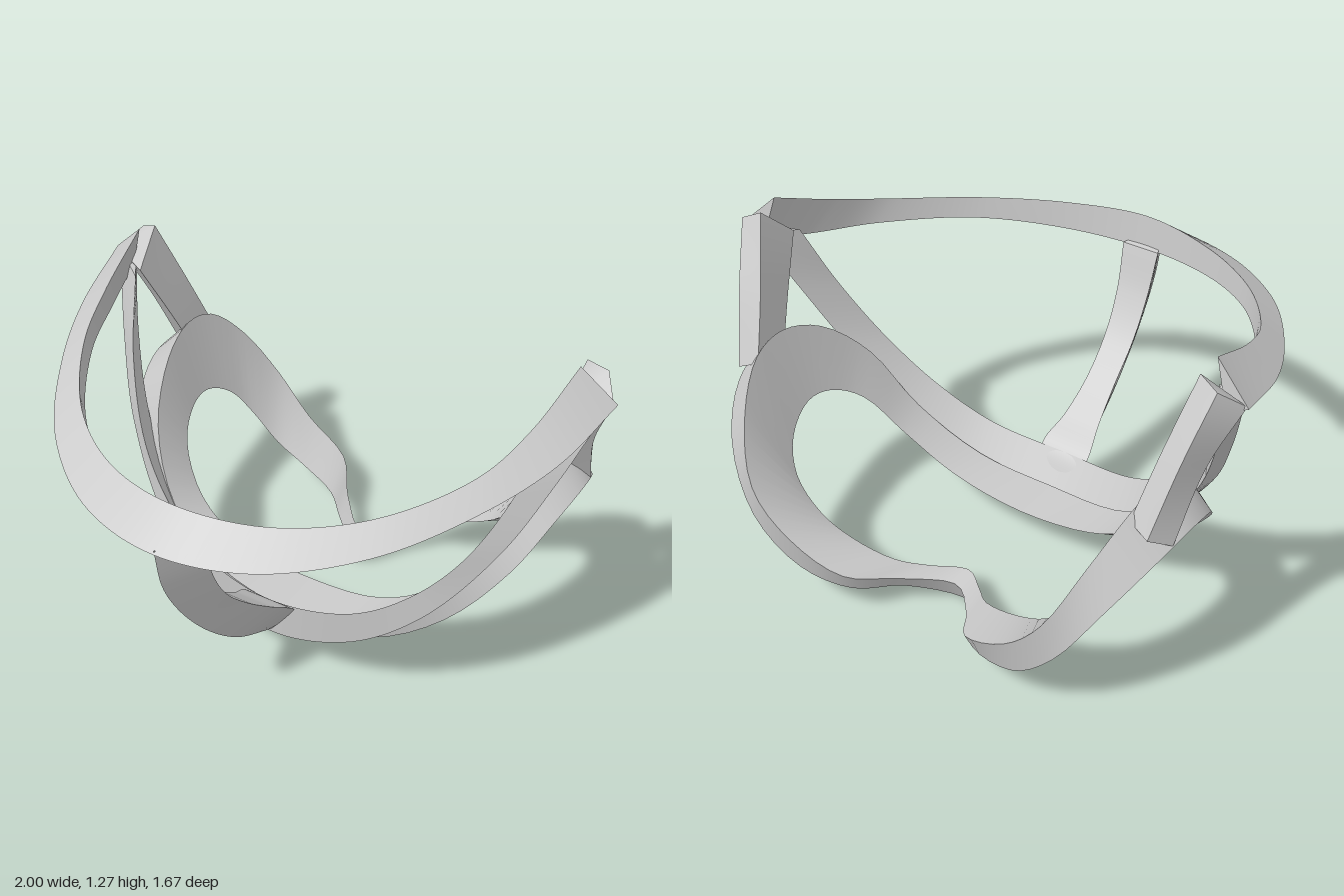
import * as THREE from 'three';

const material = new THREE.MeshStandardMaterial({ color: 0xcccccc, side: THREE.DoubleSide });
const STEPS = 96;

const flip = ([x, y, z]) => [-x, y, z];

// Extends a half path that starts on the centre plane to both sides
const bothSides = (half) => [...half.slice(1).reverse().map(flip), ...half];

// Completes a half loop that starts and ends on the centre plane
const fullLoop = (half) => [...half, ...half.slice(1, -1).reverse().map(flip)];

function sample(points, closed = false) {
  const curve = new THREE.CatmullRomCurve3(points.map((p) => new THREE.Vector3(...p)), closed);
  return Array.from({ length: STEPS + 1 }, (_, i) => curve.getPoint(i / STEPS));
}

// Skins the rails: smooth along each strip, sharp along each rail
function loft(name, paths, closed = false) {
  const rails = paths.map((path) => sample(path, closed));
  const pos = [];
  const index = [];
  rails.forEach((a, k) => {
    const b = rails[(k + 1) % rails.length];
    const base = pos.length / 3;
    a.forEach((p, i) => {
      pos.push(...p.toArray(), ...b[i].toArray());
      if (i < STEPS) {
        const s = base + i * 2;
        index.push(s, s + 1, s + 2, s + 1, s + 3, s + 2);
      }
    });
  });
  // End caps of open lofts
  for (const end of closed ? [] : [0, STEPS]) {
    const base = pos.length / 3;
    rails.forEach((r) => pos.push(...r[end].toArray()));
    for (let k = 1; k < rails.length - 1; k++) {
      if (end) index.push(base, base + k, base + k + 1);
      else index.push(base, base + k + 1, base + k);
    }
  }
  const geometry = new THREE.BufferGeometry();
  geometry.setAttribute('position', new THREE.Float32BufferAttribute(pos, 3));
  geometry.setIndex(index);
  geometry.computeVertexNormals();
  const mesh = new THREE.Mesh(geometry, material);
  mesh.name = name;
  return mesh;
}

export function createModel() {
  const group = new THREE.Group();

  // Face cushion: three-sided saddle loop (top ridge, outer edge, inner lip) with a notch for the nose
  const cushion = [
    [
      [0, 0.16, 0.09], [0.3, 0.2, 0.06], [0.54, 0.36, 0], [0.67, 0.6, -0.1],
      [0.74, 0.78, -0.28], [0.765, 0.84, -0.45], [0.755, 0.81, -0.59], [0.7, 0.67, -0.73], [0.6, 0.46, -0.83],
      [0.45, 0.3, -0.825], [0.26, 0.2, -0.78], [0.15, 0.14, -0.63], [0, 0.1, -0.5],
    ],
    [
      [0, 0.09, 0.06], [0.33, 0.12, 0.03], [0.59, 0.28, -0.03], [0.78, 0.51, -0.13],
      [0.86, 0.66, -0.28], [0.885, 0.71, -0.45], [0.86, 0.67, -0.59], [0.77, 0.53, -0.74], [0.63, 0.32, -0.81],
      [0.45, 0.16, -0.79], [0.26, 0.12, -0.74], [0.15, 0.08, -0.59], [0, 0, -0.45],
    ],
    [
      [0, 0.16, -0.1], [0.3, 0.2, -0.1], [0.5, 0.32, -0.13], [0.62, 0.48, -0.21],
      [0.67, 0.56, -0.33], [0.68, 0.57, -0.44], [0.65, 0.5, -0.56], [0.59, 0.39, -0.62], [0.48, 0.28, -0.63],
      [0.35, 0.22, -0.62], [0.2, 0.17, -0.58], [0.11, 0.13, -0.5], [0, 0.11, -0.42],
    ],
  ];
  group.add(loft('faceCushion', cushion.map(fullLoop), true));

  // Front rim: three-sided arc sweeping from corner to corner
  const frontRim = [
    [[0, 1.02, 0.7], [0.3, 1.015, 0.63], [0.56, 1.035, 0.45], [0.76, 1.09, 0.17], [0.83, 1.16, -0.05], [0.87, 1.27, -0.32]],
    [[0, 0.92, 0.835], [0.32, 0.93, 0.76], [0.61, 0.965, 0.54], [0.82, 1.02, 0.23], [0.94, 1.075, -0.05], [1, 1.15, -0.35]],
    [[0, 0.89, 0.69], [0.3, 0.91, 0.62], [0.57, 0.96, 0.42], [0.78, 1.01, 0.11], [0.86, 1.05, -0.12], [0.92, 1.1, -0.34]],
  ];
  group.add(loft('frontRim', frontRim.map(bothSides)));

  // Lower rim: U-shaped bow joining the corners under the cushion
  const lowerRim = [
    [[0, 0.26, 0.18], [0.3, 0.3, 0.14], [0.5, 0.42, 0.08], [0.66, 0.6, 0], [0.78, 0.86, -0.12], [0.84, 1.12, -0.24]],
    [[0, 0.1, 0.17], [0.3, 0.16, 0.13], [0.55, 0.34, 0.06], [0.76, 0.62, -0.07], [0.88, 0.88, -0.2], [0.98, 1.15, -0.34]],
    [[0, 0.09, 0.08], [0.3, 0.14, 0.05], [0.54, 0.32, -0.02], [0.74, 0.62, -0.14], [0.85, 0.88, -0.25], [0.93, 1.14, -0.37]],
  ];
  group.add(loft('lowerRim', lowerRim.map(bothSides)));

  // Centre strut: flat behind, ridged in front, flared at the foot
  const strutEdge = [
    [0.075, 0.9, 0.67], [0.065, 0.73, 0.62], [0.06, 0.58, 0.54], [0.06, 0.44, 0.41], [0.075, 0.34, 0.29], [0.1, 0.26, 0.18], [0.06, 0.15, 0.12],
  ];
  const strutRidge = [
    [0, 0.93, 0.83], [0, 0.77, 0.8], [0, 0.61, 0.72], [0, 0.41, 0.57], [0, 0.24, 0.39], [0, 0.14, 0.22], [0, 0.1, 0.14],
  ];
  group.add(loft('centreStrut', [strutEdge, strutRidge, strutEdge.map(flip)]));

  // Side struts: short posts from the corners, blending into the cushion's outer edge
  const sideStrut = [
    [[0.99, 1.15, -0.34], [0.91, 0.94, -0.42], [0.875, 0.7, -0.53]],
    [[0.93, 1.22, -0.42], [0.88, 1.0, -0.52], [0.83, 0.75, -0.61]],
    [[0.86, 1.25, -0.4], [0.8, 1.0, -0.5], [0.755, 0.78, -0.59]],
    [[0.84, 1.13, -0.27], [0.8, 0.93, -0.37], [0.765, 0.76, -0.45]],
  ];
  group.add(loft('leftSideStrut', [...sideStrut].reverse()));
  group.add(loft('rightSideStrut', sideStrut.map((rail) => rail.map(flip))));

  return group;
}
